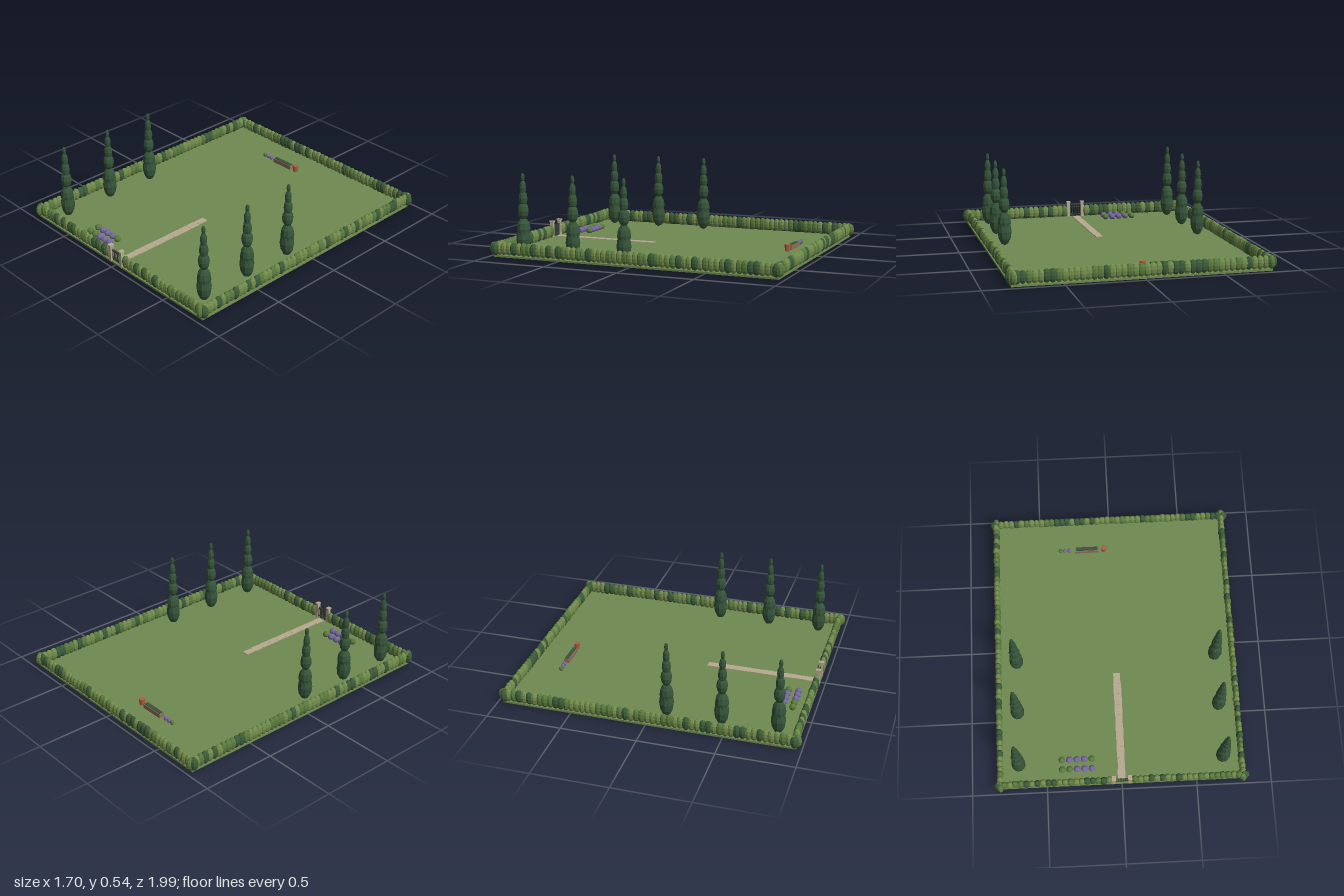
import * as THREE from 'three';

const mat = (name, color, flatShading = false) => {
  const m = new THREE.MeshStandardMaterial({ color, flatShading });
  m.name = name;
  return m;
};

export function createModel() {
  const garden = new THREE.Group();
  garden.name = 'garden';

  const grass = mat('grass', 0x6f8a51);
  const hedgeLight = mat('light leaf', 0x718c4b, true);
  const hedgeMid = mat('mid leaf', 0x5a7a3e, true);
  const hedgeDark = mat('dark leaf', 0x3c5c3a, true);
  const cypressGreen = mat('cypress green', 0x36553a, true);
  const stone = mat('pale stone', 0xb8aa90);
  const iron = mat('gate green', 0x3a4438);
  const lavender = mat('lavender', 0x75679f, true);
  const terracotta = mat('terracotta', 0xb0603f);
  const wood = mat('planter wood', 0x8f705c);

  let seed = 7;
  const rand = () => (seed = (seed * 16807) % 2147483647) / 2147483647;

  const add = (parent, name, geo, material, x, y, z) => {
    const mesh = new THREE.Mesh(geo, material);
    mesh.name = name;
    mesh.position.set(x, y, z);
    parent.add(mesh);
    return mesh;
  };
  const box = (parent, name, material, w, h, d, x, y, z) =>
    add(parent, name, new THREE.BoxGeometry(w, h, d), material, x, y, z);
  const ball = new THREE.SphereGeometry(1, 9, 6);
  const blob = (parent, name, material, rx, ry, rz, x, y, z) => {
    const mesh = add(parent, name, ball, material, x, y, z);
    mesh.scale.set(rx, ry, rz);
    return mesh;
  };
  const group = (name) => {
    const g = new THREE.Group();
    g.name = name;
    garden.add(g);
    return g;
  };

  // Lawn slab
  box(garden, 'lawn', grass, 1.64, 0.012, 1.93, 0, 0.006, 0);

  // Clipped hedges: rows of tall leafy lumps
  const leaf = () => {
    const r = rand();
    return r < 0.48 ? hedgeLight : r < 0.76 ? hedgeMid : hedgeDark;
  };
  const hedge = (name, x0, z0, x1, z1) => {
    const g = group(name);
    const length = Math.hypot(x1 - x0, z1 - z0);
    const count = Math.round(length / 0.036);
    const alongX = Math.abs(x1 - x0) > Math.abs(z1 - z0);
    for (let i = 0; i <= count; i++) {
      const t = i / count;
      const along = 0.024 + rand() * 0.006;
      const across = 0.021 + rand() * 0.004;
      const jitter = (rand() - 0.5) * 0.004;
      blob(g, 'hedgeLump', leaf(), alongX ? along : across, 0.043 + rand() * 0.003, alongX ? across : along,
        x0 + (x1 - x0) * t + (alongX ? 0 : jitter), 0.056,
        z0 + (z1 - z0) * t + (alongX ? jitter : 0));
    }
  };
  hedge('frontHedgeRight', -0.82, 0.95, -0.085, 0.95);
  hedge('frontHedgeLeft', 0.085, 0.95, 0.815, 0.95);
  hedge('backHedge', -0.81, -0.955, 0.82, -0.955);
  hedge('rightHedge', -0.81, -0.965, -0.81, 0.95);
  hedge('leftHedge', 0.805, -0.965, 0.805, 0.965);

  // Rounder dark lumps at the four corners
  for (const sx of [-1, 1]) {
    for (const sz of [-1, 1]) {
      blob(garden, 'cornerLump', hedgeDark, 0.034, 0.045, 0.028, sx * 0.818, 0.056, sz * 0.952);
      blob(garden, 'cornerLump', hedgeMid, 0.022, 0.042, 0.03, sx * 0.808, 0.056, sz * 0.967);
    }
  }

  // Cypresses: stacked tapering lumps [height, radius, half height]
  const tiers = [
    [0.105, 0.048, 0.093], [0.17, 0.045, 0.075], [0.29, 0.037, 0.06],
    [0.37, 0.029, 0.055], [0.44, 0.022, 0.05], [0.508, 0.013, 0.029],
  ];
  for (const x of [-0.683, 0.68]) {
    for (const z of [0.1, 0.46, 0.822]) {
      const tree = group('cypress');
      tree.position.set(x, 0, z);
      tiers.forEach(([y, r, h], i) => {
        blob(tree, 'foliageTier', cypressGreen, r, h, r, 0, y, 0).rotation.y = i * 0.35;
      });
    }
  }

  // Garden path of slabs
  const path = group('path');
  const slabs = 10;
  for (let i = 0; i < slabs; i++) {
    const pitch = 0.75 / slabs;
    box(path, 'pathSlab', stone, 0.046 + rand() * 0.008, 0.006, pitch - 0.001,
      (rand() - 0.5) * 0.003, 0.014, 0.19 + pitch * (i + 0.5));
  }

  // Gate between two capped posts
  const gate = group('gate');
  for (const s of [-1, 1]) {
    box(gate, 'gatePost', stone, 0.022, 0.118, 0.024, s * 0.053, 0.065, 0.955);
    box(gate, 'postCap', stone, 0.027, 0.008, 0.034, s * 0.053, 0.123, 0.955);
  }
  for (const y of [0.03, 0.085]) box(gate, 'gateRail', iron, 0.084, 0.006, 0.006, 0, y, 0.952);
  for (let i = 0; i < 6; i++) {
    box(gate, 'gateBar', iron, 0.005, 0.085, 0.005, -0.0375 + i * 0.015, 0.056, 0.952);
  }

  // Lavender bed, two rows (1 = in flower)
  const bed = group('lavenderBed');
  [[0.79, [0, 1, 1, 1, 0]], [0.856, [0, 0, 1, 1, 1]]].forEach(([z, row]) => {
    row.forEach((flower, i) => {
      blob(bed, 'lavenderBush', flower ? lavender : hedgeMid, 0.023, 0.022, 0.023, -0.397 + i * 0.05, 0.03, z);
    });
  });

  // Planter, small flowers and pot near the back
  const corner = group('planterCorner');
  box(corner, 'planterBox', wood, 0.166, 0.03, 0.037, -0.168, 0.026, -0.745);
  box(corner, 'planterLeaves', cypressGreen, 0.154, 0.008, 0.026, -0.168, 0.041, -0.745);
  [hedgeMid, lavender, lavender].forEach((m, i) => {
    blob(corner, 'smallFlower', m, 0.014, 0.016, 0.014, -0.356 + i * 0.032, 0.026, -0.745);
  });
  add(corner, 'pot', new THREE.CylinderGeometry(0.021, 0.017, 0.045, 8), terracotta, -0.046, 0.034, -0.745);

  return garden;
}
